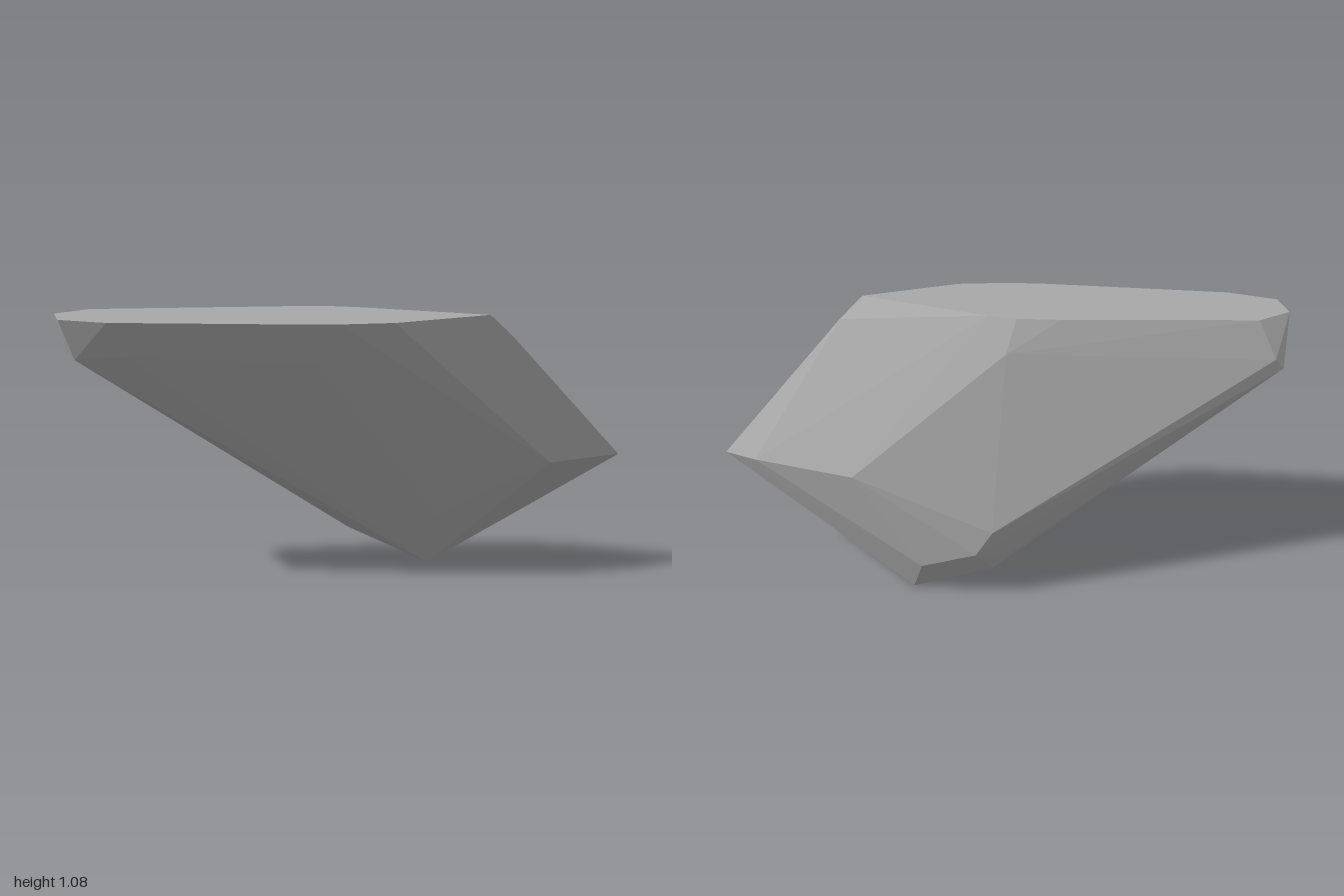
import * as THREE from 'three';
import { ConvexGeometry } from 'three/addons/geometries/ConvexGeometry.js';

export function createModel() {
  const group = new THREE.Group();
  group.name = 'rock';
  const stone = new THREE.MeshStandardMaterial({ color: 0xa8a8a8 });
  stone.name = 'grey stone';

  // Flat cut top, outline as x, z
  const topY = 1.083;
  const top = [
    [-1, -0.22], [-1, -0.12], [-0.85, -0.02], [-0.22, 0.23], [-0.1, 0.27], [0.08, 0.312],
    [0.44, 0.312], [0.04, 0.04], [-0.05, -0.01], [-0.2, -0.06], [-0.87, -0.25],
  ].map(([x, z]) => [x, topY, z]);

  // Front corners and the pointed side
  const front = [
    [0.53, 1.0, 0.312], [1, 0.5, 0.312], [0.71, 0.5, 0.312],
    [-0.17, 0.93, 0.19], [0.35, 0.25, 0.085], [-0.78, 0.95, -0.045],
  ];

  // Narrow end
  const end = [[-0.95, 0.93, -0.14], [-0.955, 0.91, -0.312], [-0.92, 0.95, -0.312]];

  // Worn foot
  const foot = [
    [0.37, 0, -0.03], [0.37, 0, -0.058], [0.09, 0.13, -0.19], [0.04, 0.19, -0.203],
    [0.16, 0.22, -0.21], [0.35, 0.14, -0.12],
  ];

  // Back facets
  const back = [
    [0.1, 0.32, -0.223], [0.57, 0.5, 0.015], [0.9, 0.5, 0.23],
    [0, 0.97, -0.052], [0.02, 0.87, -0.075],
  ];

  const points = [...top, ...front, ...end, ...foot, ...back].map((p) => new THREE.Vector3(...p));
  const shard = new THREE.Mesh(new ConvexGeometry(points), stone);
  shard.name = 'shard';
  group.add(shard);
  return group;
}
